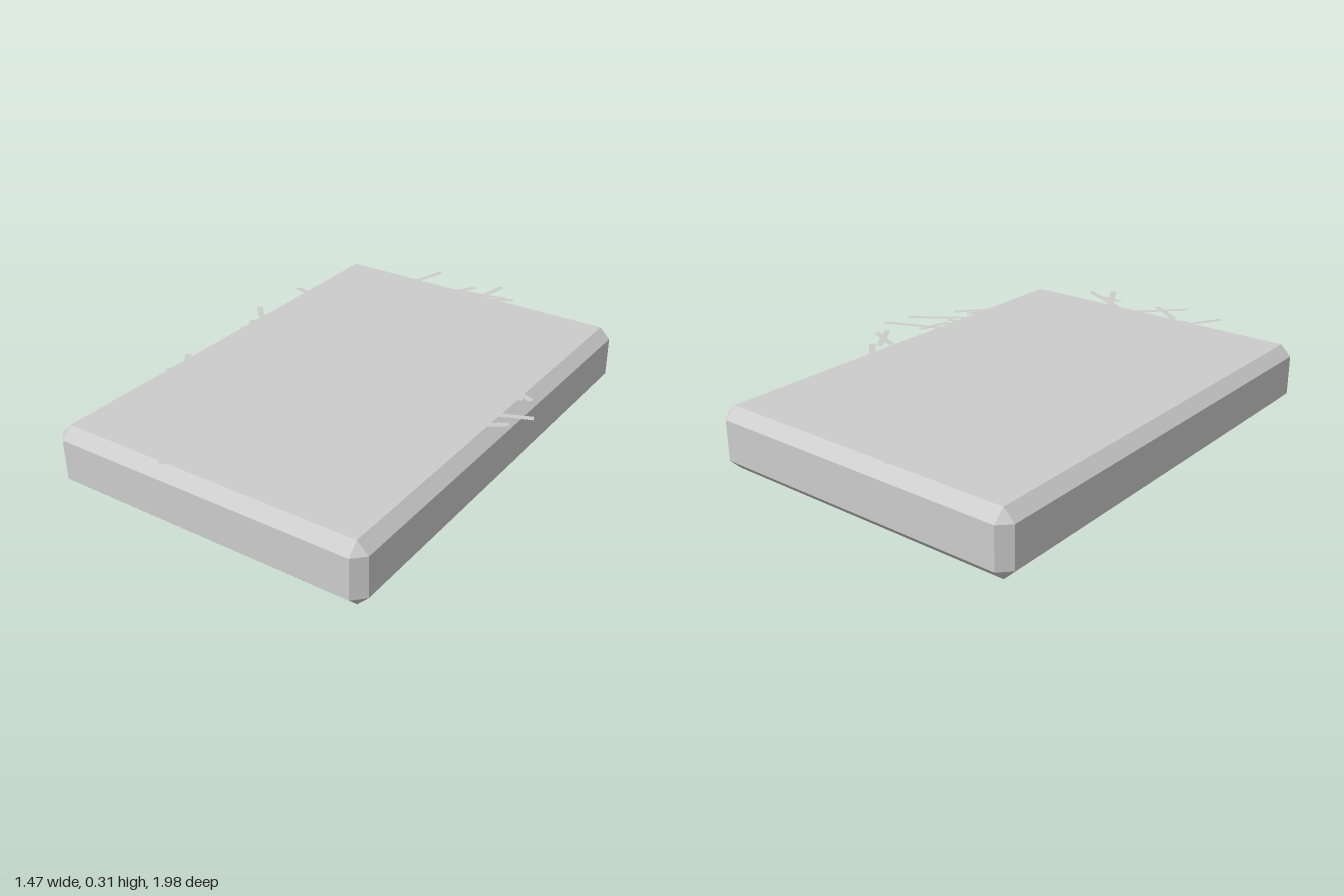
import * as THREE from 'three';
import { ConvexGeometry } from 'three/addons/geometries/ConvexGeometry.js';

// Main straws as x1, z1, x2, z2 in hundredths of a unit
const STRAWS = [
  -25, -99, -35, -68, 8, -97, 3, -71, 15, -88, -17, -82, -1, -73, -25, -44,
  -6, -51, -13, -12, -12, -46, -44, -33, -36, -64, -52, -47, -49, -53, -54, -3,
  -69, -46, -34, -38, -30, -44, -51, 2, -70, -20, -45, 7, 26, -31, -9, -11,
  -8, -24, 3, 15, 1, -65, 13, -29, 47, -56, 23, -48, 25, -68, 41, -34,
  30, -50, 56, -24, 52, -24, 63, -8, 73, 0, 43, 12, 68, 10, 42, 29,
  45, 0, -7, 24, 22, 5, 8, 32, -2, 8, -34, 29, -21, -3, -7, 32,
  40, 6, 33, 66, 58, 29, 40, 49, 32, 40, 16, 65, -65, 32, -47, 55,
  -21, 28, -37, 50, 5, 42, 5, 65, -60, 53, -35, 53, -40, 93, -23, 64,
  -20, 98, 3, 74, 27, 90, -14, 69, 19, 97, 1, 66, 24, 78, 39, 70,
  -2, 51, -23, 51,
];

function seeded(seed) {
  return () => {
    seed = (seed * 16807) % 2147483647;
    return seed / 2147483647;
  };
}

// Box with every edge and corner cut flat
function chamferedBox(w, h, d, c) {
  const points = [];
  for (const sx of [-1, 1]) for (const sy of [-1, 1]) for (const sz of [-1, 1]) {
    const x = w / 2, y = h / 2, z = d / 2;
    points.push(
      new THREE.Vector3(sx * x, sy * (y - c), sz * (z - c)),
      new THREE.Vector3(sx * (x - c), sy * y, sz * (z - c)),
      new THREE.Vector3(sx * (x - c), sy * (y - c), sz * z),
    );
  }
  return new ConvexGeometry(points);
}

export function createModel() {
  const model = new THREE.Group();
  model.name = 'strawMattress';
  const grey = new THREE.MeshStandardMaterial({ color: 0xcccccc, side: THREE.DoubleSide });
  grey.name = 'grey';

  // Mattress slab
  const slab = new THREE.Mesh(chamferedBox(1.365, 0.255, 1.946, 0.045), grey);
  slab.name = 'mattress';
  slab.position.set(-0.055, 0.1275, -0.004);
  model.add(slab);

  // Loose flat straws hovering just above the slab
  const straws = new THREE.Group();
  straws.name = 'straws';
  model.add(straws);
  const strip = new THREE.PlaneGeometry(1, 1).rotateX(-Math.PI / 2);
  const random = seeded(4127);

  function addStraw(x, z, length, angle) {
    const straw = new THREE.Mesh(strip, grey);
    straw.name = 'straw';
    straw.scale.set(length, 1, 0.026);
    straw.rotation.y = angle;
    straw.position.set(x, 0.292 + 0.016 * random(), z);
    straws.add(straw);
  }

  for (let i = 0; i < STRAWS.length; i += 4) {
    const [x1, z1, x2, z2] = STRAWS.slice(i, i + 4).map((v) => v / 100);
    addStraw((x1 + x2) / 2, (z1 + z2) / 2, Math.hypot(x2 - x1, z2 - z1), Math.atan2(z1 - z2, x2 - x1));
  }

  // Shorter straws scattered across the main ones
  for (let k = 0; k < 50; k++) {
    const i = 4 * (1 + (k % (STRAWS.length / 4 - 1)));
    const t = 0.2 + 0.6 * random();
    const x = THREE.MathUtils.lerp(STRAWS[i], STRAWS[i + 2], t) / 100 + (random() - 0.5) * 0.08;
    const z = THREE.MathUtils.lerp(STRAWS[i + 1], STRAWS[i + 3], t) / 100 + (random() - 0.5) * 0.08;
    addStraw(
      THREE.MathUtils.clamp(x, -0.6, 0.6), THREE.MathUtils.clamp(z, -0.86, 0.86),
      0.12 + 0.12 * random(), random() * Math.PI,
    );
  }
  return model;
}
